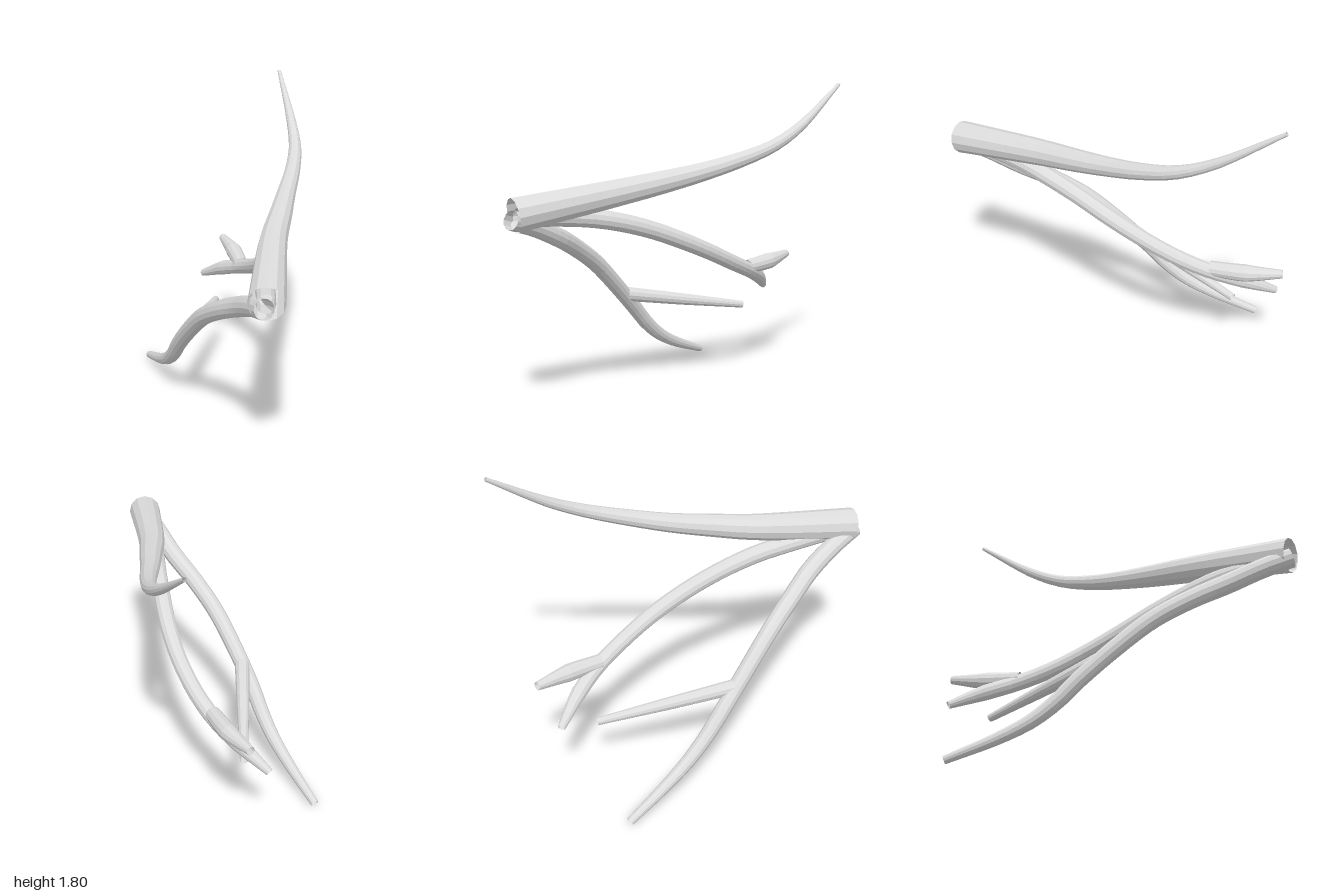
import * as THREE from 'three';

// Tapered open tube; each point is [x, y, z, radius]
function limb(name, pts, rings, material) {
  const sides = 12;
  const curve = new THREE.CatmullRomCurve3(pts.map(p => new THREE.Vector3(p[0], p[1], p[2])));
  const geo = new THREE.TubeGeometry(curve, rings, 1, sides, false);
  const pos = geo.attributes.position;
  const v = new THREE.Vector3();
  for (let i = 0; i <= rings; i++) {
    const u = i / rings;
    const centre = curve.getPointAt(u);
    const s = curve.getUtoTmapping(u) * (pts.length - 1);
    const k = Math.min(Math.floor(s), pts.length - 2);
    const r = THREE.MathUtils.lerp(pts[k][3], pts[k + 1][3], s - k);
    for (let j = 0; j <= sides; j++) {
      const n = i * (sides + 1) + j;
      v.fromBufferAttribute(pos, n).sub(centre).multiplyScalar(r).add(centre);
      pos.setXYZ(n, v.x, v.y, v.z);
    }
  }
  const mesh = new THREE.Mesh(geo, material);
  mesh.name = name;
  return mesh;
}

export function createModel() {
  const bark = new THREE.MeshStandardMaterial({ color: 0xdcdcdc, flatShading: true, side: THREE.DoubleSide });
  bark.name = 'pale grey bark';
  const group = new THREE.Group();
  group.name = 'branch';

  group.add(
    // Thick main stem sweeping up to a thin tip
    limb('mainStem', [
      [-0.435, 1.16, 0.95, 0.096], [-0.145, 1.245, 0.4, 0.075], [-0.015, 1.285, 0.2, 0.066],
      [0.115, 1.33, 0, 0.055], [0.25, 1.39, -0.2, 0.046], [0.365, 1.465, -0.4, 0.037],
      [0.435, 1.57, -0.6, 0.029], [0.51, 1.8, -0.935, 0.011],
    ], 28, bark),
    // Lowest branch
    limb('lowerBranch', [
      [-0.45, 1.135, 0.955, 0.054], [-0.438, 1.085, 0.8, 0.054], [-0.43, 0.998, 0.6, 0.055],
      [-0.453, 0.9, 0.4, 0.052], [-0.472, 0.78, 0.2, 0.05], [-0.48, 0.615, 0, 0.048],
      [-0.48, 0.43, -0.2, 0.046], [-0.473, 0.327, -0.3, 0.044], [-0.464, 0.225, -0.43, 0.04],
      [-0.455, 0.138, -0.6, 0.034], [-0.44, 0.03, -0.88, 0.023],
    ], 32, bark),
    limb('lowerTwig', [
      [-0.475, 0.545, -0.09, 0.044], [-0.26, 0.48, -0.4, 0.036], [-0.03, 0.412, -0.73, 0.022],
    ], 8, bark),
    // Middle branch, curving inward and forking at its end
    limb('middleBranch', [
      [-0.43, 1.15, 0.93, 0.05], [-0.27, 1.115, 0.57, 0.052], [-0.18, 1.08, 0.4, 0.052],
      [-0.085, 1.015, 0.2, 0.05], [0, 0.93, 0, 0.049], [0.06, 0.84, -0.2, 0.047],
      [0.09, 0.75, -0.4, 0.046], [0.09, 0.67, -0.6, 0.045], [0.05, 0.595, -0.79, 0.045],
      [-0.017, 0.5, -0.975, 0.022],
    ], 28, bark),
    limb('middleTwig', [
      [0.088, 0.69, -0.59, 0.044], [0.125, 0.7, -0.79, 0.05], [0.135, 0.717, -1, 0.024],
    ], 10, bark),
  );
  return group;
}
